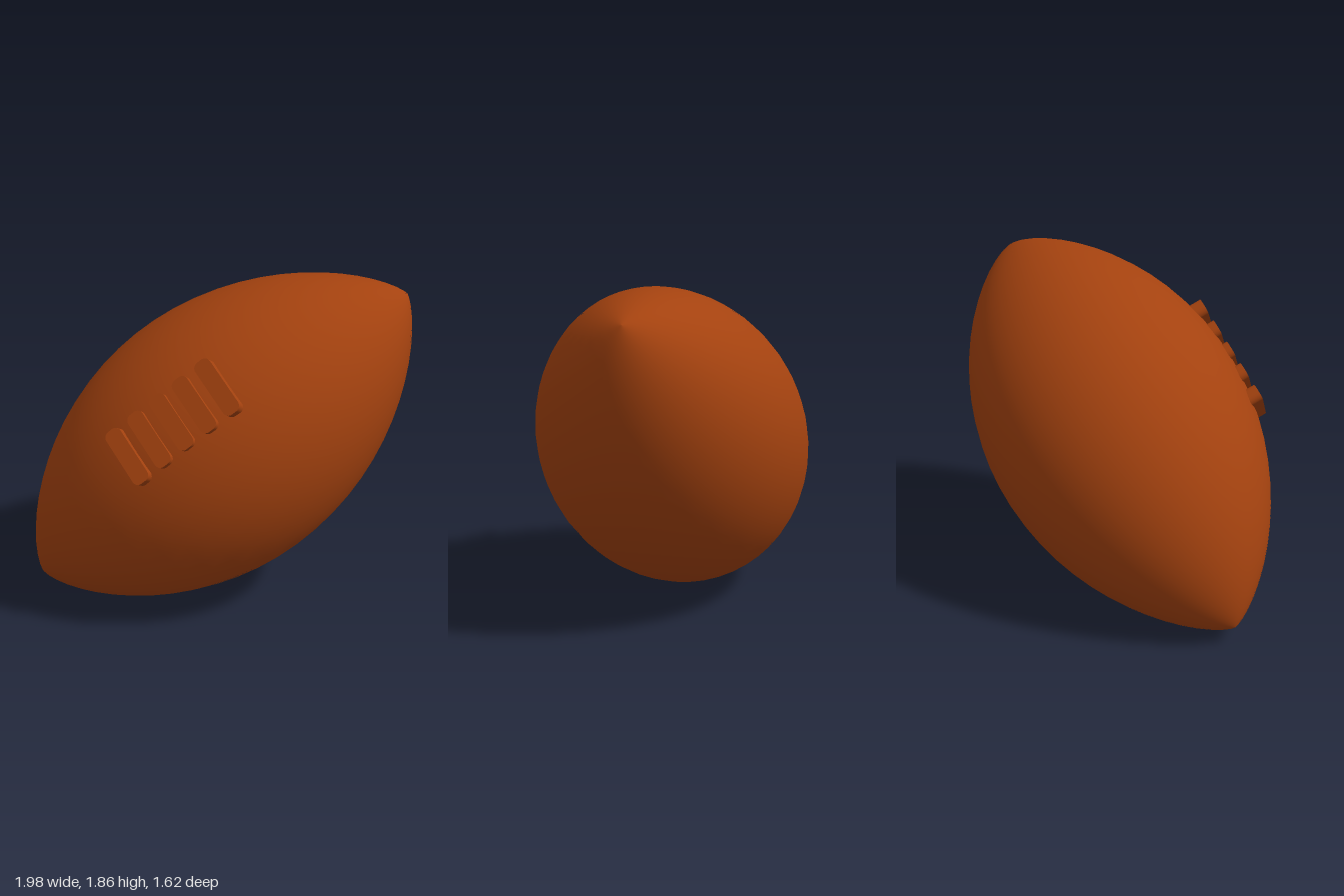
import * as THREE from 'three';

const HALF_LENGTH = 1.315, RADIUS = 0.745;

// Pointed-oval profile with rounded tips, from the lower tip to the upper one
function profile(scale = 1, steps = 32) {
  const points = [];
  for (let i = 0; i <= steps; i++) {
    const a = (i / steps - 0.5) * Math.PI;
    const r = i === 0 || i === steps ? 0 : RADIUS * Math.pow(Math.cos(a), 1.5);
    points.push(new THREE.Vector2(r * scale, HALF_LENGTH * Math.sin(a) * scale));
  }
  return points;
}

// Flat bar with rounded corners, lying in the xy plane
function stitchGeometry(length, width, depth, radius) {
  const x = length / 2, y = width / 2;
  const s = new THREE.Shape();
  s.moveTo(-x + radius, -y);
  s.lineTo(x - radius, -y);
  s.absarc(x - radius, -y + radius, radius, -Math.PI / 2, 0);
  s.lineTo(x, y - radius);
  s.absarc(x - radius, y - radius, radius, 0, Math.PI / 2);
  s.lineTo(-x + radius, y);
  s.absarc(-x + radius, y - radius, radius, Math.PI / 2, Math.PI);
  s.lineTo(-x, -y + radius);
  s.absarc(-x + radius, -y + radius, radius, Math.PI, Math.PI * 1.5);
  return new THREE.ExtrudeGeometry(s, { depth, bevelEnabled: false, curveSegments: 6 });
}

export function createModel() {
  const leather = new THREE.MeshStandardMaterial({ color: 0xa4420f });
  leather.name = 'brown leather';

  const ball = new THREE.Group();
  ball.name = 'ball';
  const add = (name, geometry) => {
    const mesh = new THREE.Mesh(geometry, leather);
    mesh.name = name;
    ball.add(mesh);
    return mesh;
  };

  // Inner core, seen only at the bottom of the seams
  add('seamCore', new THREE.LatheGeometry(profile(0.993), 48));

  // Four leather panels with narrow seams between them
  const gap = 0.012;
  for (let i = 0; i < 4; i++) {
    add('panel' + (i + 1), new THREE.LatheGeometry(
      profile(), 12, i * Math.PI / 2 + gap / 2, Math.PI / 2 - gap));
  }

  // Five stitches across the front seam
  const stitch = stitchGeometry(0.33, 0.095, 0.07, 0.035);
  for (let i = -2; i <= 2; i++) {
    add('stitch' + (i + 3), stitch).position.set(0, i * 0.148, 0.688);
  }

  // Tilt: long axis rises to the left and back, stitches face front and up
  const axis = new THREE.Vector3(0.708, 0.625, -0.33).normalize();
  const front = new THREE.Vector3(0, 0.47, 0.88).projectOnPlane(axis).normalize();
  const side = new THREE.Vector3().crossVectors(axis, front);
  ball.quaternion.setFromRotationMatrix(new THREE.Matrix4().makeBasis(side, axis, front));
  ball.position.y = 0.932;

  const model = new THREE.Group();
  model.name = 'model';
  model.add(ball);
  return model;
}
